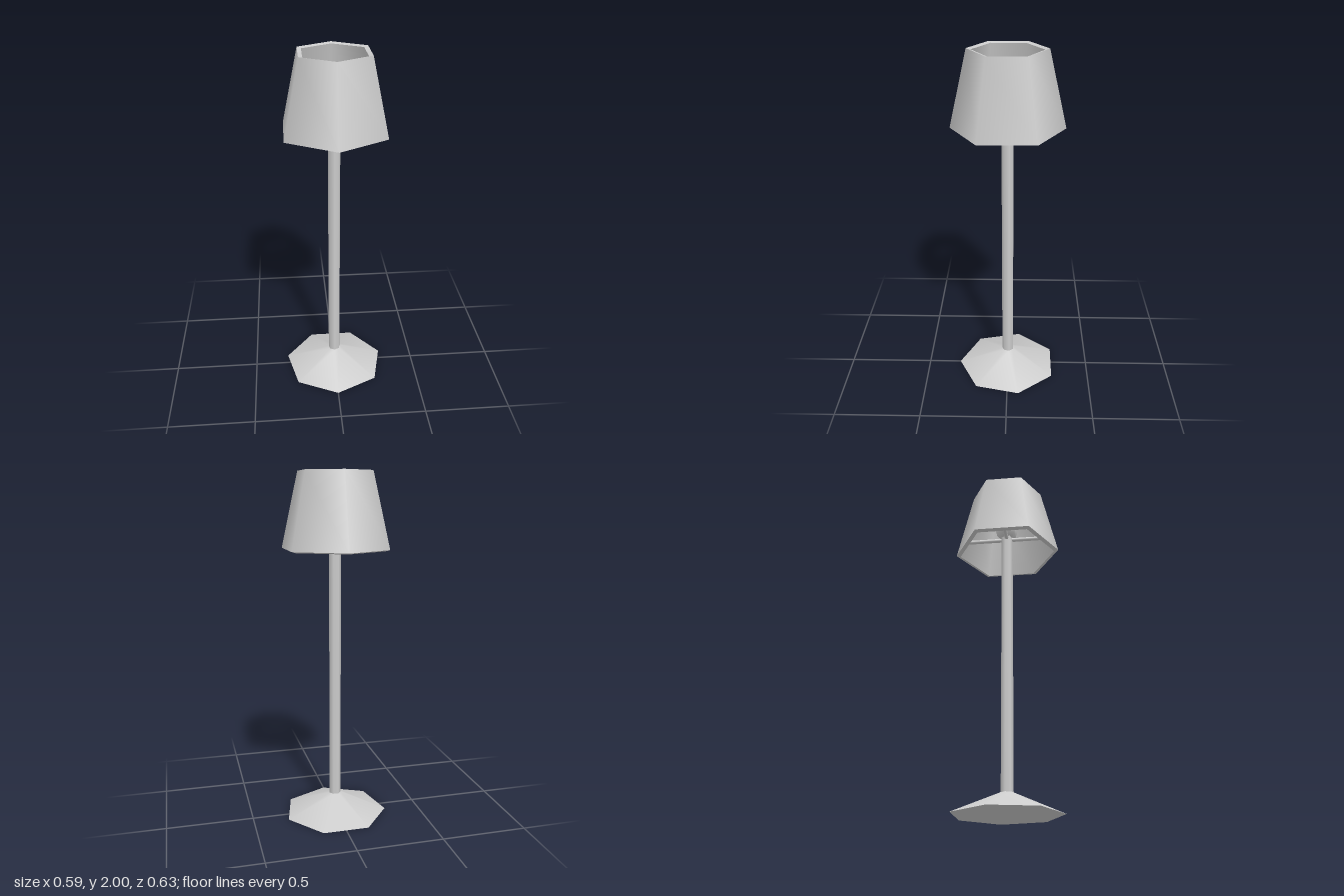
import * as THREE from 'three';
import { mergeGeometries } from 'three/addons/utils/BufferGeometryUtils.js';

// Rings swept around y, one per profile segment, so corners between them stay crisp
function sweptRings(profile, sides) {
  const rings = [];
  for (let i = 0; i < profile.length - 1; i++) {
    const pair = [profile[i], profile[i + 1]].map(([r, y]) => new THREE.Vector2(r, y));
    rings.push(new THREE.LatheGeometry(pair, sides));
  }
  return mergeGeometries(rings);
}

export function createModel() {
  const lamp = new THREE.Group();
  lamp.name = 'floorLamp';
  const grey = new THREE.MeshStandardMaterial({ color: 0xcccccc });
  grey.name = 'light grey';

  function add(name, geometry, y = 0) {
    const mesh = new THREE.Mesh(geometry, grey);
    mesh.name = name;
    mesh.position.y = y;
    lamp.add(mesh);
    return mesh;
  }

  // Seven-sided sloping foot and pole
  const footHeight = 0.115, poleTop = 1.69;
  add('foot', new THREE.CylinderGeometry(0.035, 0.305, footHeight, 7), footHeight / 2);
  add('pole', new THREE.CylinderGeometry(0.035, 0.035, poleTop - 0.1, 7), (poleTop + 0.1) / 2);

  // Crossed rods that carry the shade
  const rodX = add('shadeRodX', new THREE.CylinderGeometry(0.012, 0.012, 0.5, 7), 1.67);
  rodX.rotation.z = Math.PI / 2;
  const rodZ = add('shadeRodZ', new THREE.CylinderGeometry(0.012, 0.012, 0.52, 7), 1.67);
  rodZ.rotation.x = Math.PI / 2;

  // Five-sided bulb with a corner towards the front
  const bulb = add('bulb', new THREE.SphereGeometry(0.07, 5, 6), 1.74);
  bulb.rotation.y = -Math.PI / 2;

  // Hollow six-sided shade: outer wall, top rim, inner wall, bottom rim
  add('shade', sweptRings([
    [0.314, 1.578], [0.215, 2], [0.19, 1.994], [0.289, 1.571], [0.314, 1.578],
  ], 6));

  return lamp;
}
